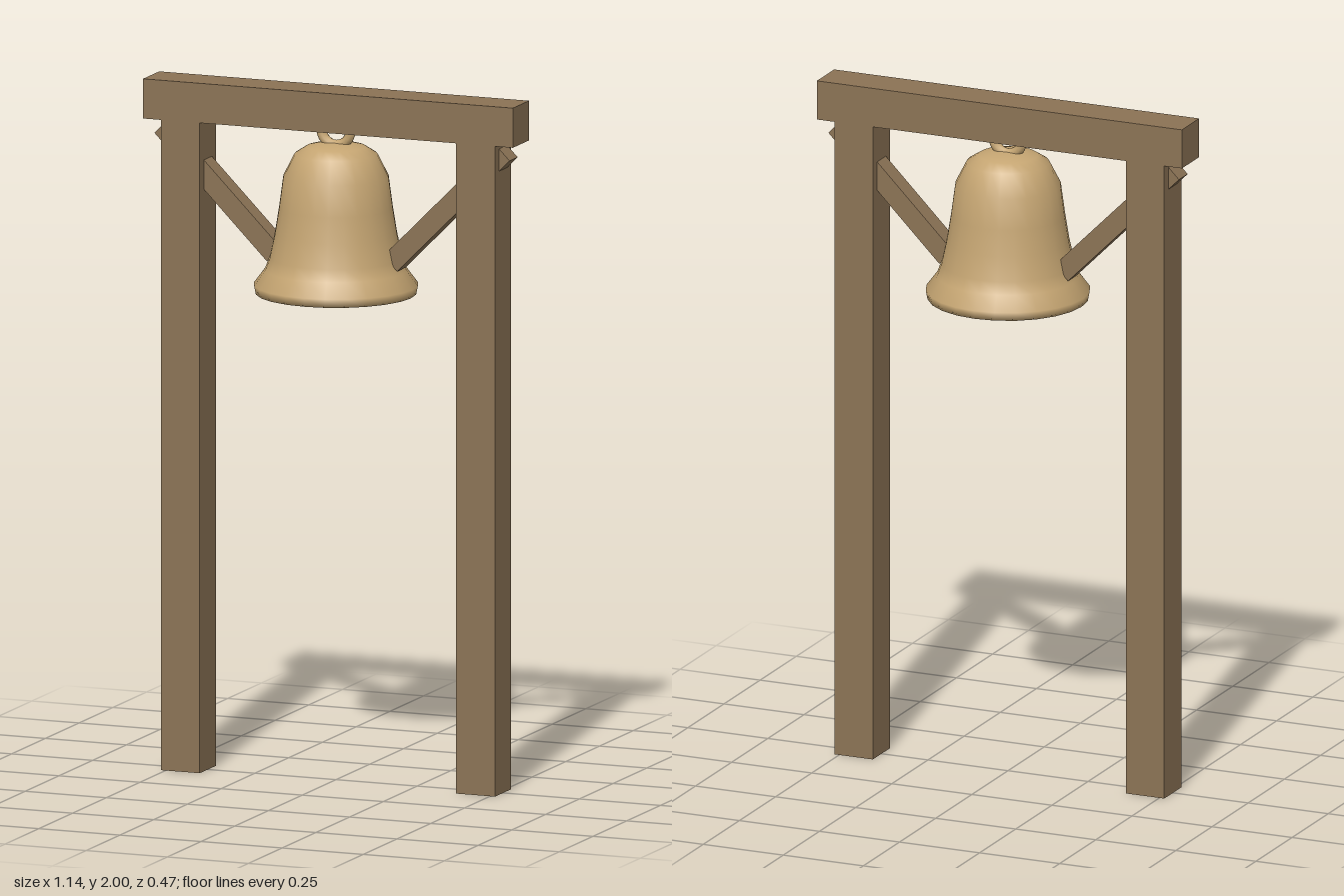
import * as THREE from 'three';

export function createModel() {
  const model = new THREE.Group();
  model.name = 'bellFrame';

  const wood = new THREE.MeshStandardMaterial({ color: 0x8b7355 });
  wood.name = 'wood';
  const brass = new THREE.MeshStandardMaterial({ color: 0xc5a572 });
  brass.name = 'brass';

  const add = (name, geometry, material, x, y, z = 0) => {
    const mesh = new THREE.Mesh(geometry, material);
    mesh.name = name;
    mesh.position.set(x, y, z);
    model.add(mesh);
    return mesh;
  };

  // Timber frame: crossbeam, two posts and diagonal braces through the posts
  add('crossbeam', new THREE.BoxGeometry(1.14, 0.115, 0.12), wood, 0, 1.9425);
  for (const [side, label] of [[1, 'left'], [-1, 'right']]) {
    add(label + 'Post', new THREE.BoxGeometry(0.12, 1.885, 0.12), wood, side * 0.455, 0.9425);
    const brace = add(label + 'Brace', new THREE.BoxGeometry(0.49, 0.06, 0.06), wood, side * 0.353, 1.688);
    brace.rotation.z = side * Math.PI / 4;
  }

  // Bell body, turned from bottom centre over the lip to the crown
  const profile = [
    [0, 1.412], [0.23, 1.412], [0.235, 1.437], [0.203, 1.48], [0.19, 1.515],
    [0.175, 1.585], [0.163, 1.66], [0.151, 1.75], [0.118, 1.815],
    [0.085, 1.836], [0.045, 1.846], [0, 1.848],
  ].map(([r, y]) => new THREE.Vector2(r, y));
  add('bell', new THREE.LatheGeometry(profile, 24), brass, 0, 0);

  // Hanging ring and the tip of the clapper
  add('hangingRing', new THREE.TorusGeometry(0.045, 0.015, 10, 24), brass, 0, 1.885);
  add('clapper', new THREE.SphereGeometry(0.03, 16, 10), brass, 0, 1.435);

  return model;
}
